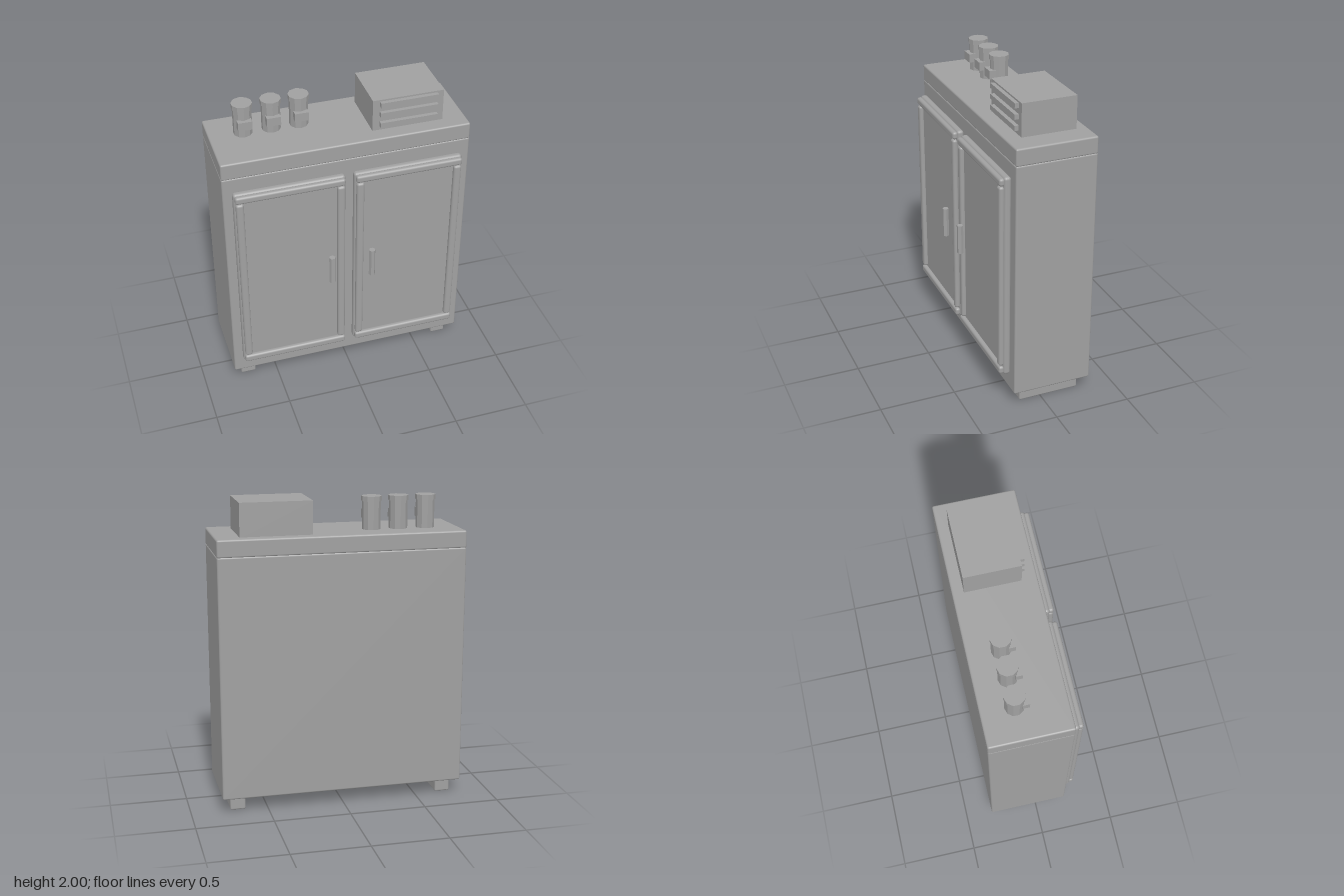
import * as THREE from 'three';
import { RoundedBoxGeometry } from 'three/addons/geometries/RoundedBoxGeometry.js';

const grey = new THREE.MeshStandardMaterial({ color: 0xa0a0a0 });
grey.name = 'grey';
const facetedGrey = grey;

function add(parent, name, geometry, x = 0, y = 0, z = 0) {
  const mesh = new THREE.Mesh(geometry, grey);
  mesh.name = name;
  mesh.position.set(x, y, z);
  parent.add(mesh);
  return mesh;
}

// Box given by its limits on each axis; a radius rounds the edges
function block(parent, name, [x0, x1], [y0, y1], [z0, z1], radius = 0) {
  const size = [x1 - x0, y1 - y0, z1 - z0];
  const geometry = radius
    ? new RoundedBoxGeometry(...size, 3, radius)
    : new THREE.BoxGeometry(...size);
  return add(parent, name, geometry, (x0 + x1) / 2, (y0 + y1) / 2, (z0 + z1) / 2);
}

// Faceted upright cylinder with flat sides
function prism(radius, height, sides) {
  const geometry = new THREE.CylinderGeometry(radius, radius, height, sides).toNonIndexed();
  geometry.computeVertexNormals();
  return geometry;
}

function makeDoor(name, x0, x1, handleX) {
  const door = new THREE.Group();
  door.name = name;
  block(door, 'doorPanel', [x0, x1], [0.22, 1.59], [0.205, 0.252], 0.019);
  // Raised frame
  const z = [0.243, 0.28];
  for (const y of [[0.228, 0.28], [1.532, 1.582]]) {
    block(door, 'doorRail', [x0 + 0.007, x1 - 0.007], y, z, 0.016);
  }
  for (const x of [[x0 + 0.01, x0 + 0.06], [x1 - 0.06, x1 - 0.01]]) {
    block(door, 'doorStile', x, [0.285, 1.528], z, 0.016);
  }
  // Hexagonal bar handle
  const handle = add(door, 'doorHandle', prism(0.021, 0.2, 6), handleX, 0.91, 0.305);
  handle.rotation.y = Math.PI / 2;
  return door;
}

function makeCanister(x) {
  const canister = new THREE.Group();
  canister.name = 'canister';
  canister.position.set(x, 0, -0.115);
  add(canister, 'canisterBody', prism(0.06, 0.185, 10), 0, 1.8775);
  add(canister, 'canisterLid', prism(0.066, 0.032, 10), 0, 1.984);
  block(canister, 'canisterLabel', [-0.045, 0.045], [1.85, 1.907], [0.04, 0.083]);
  return canister;
}

export function createModel() {
  const model = new THREE.Group();
  model.name = 'cabinet';

  // Cabinet case and worktop
  block(model, 'cabinetBody', [-0.8, 0.8], [0.1, 1.68], [-0.323, 0.205], 0.012);
  block(model, 'worktop', [-0.8, 0.8], [1.674, 1.787], [-0.323, 0.205], 0.012);

  // Runner feet
  for (const side of [-1, 1]) {
    block(model, 'foot', [side * 0.695 - 0.05, side * 0.695 + 0.05], [0.005, 0.13], [-0.262, 0.145], 0.01);
  }

  model.add(makeDoor('rightDoor', -0.743, -0.03, -0.137));
  model.add(makeDoor('leftDoor', 0.025, 0.738, 0.132));

  // Canisters on the worktop
  for (const x of [-0.583, -0.403, -0.225]) model.add(makeCanister(x));

  // Slatted box on the worktop
  block(model, 'slattedBox', [0.185, 0.647], [1.78, 2.0], [-0.25, 0.107]);
  for (const y of [1.832, 1.903, 1.973]) {
    block(model, 'slat', [0.23, 0.605], [y - 0.016, y + 0.016], [0.1, 0.133]);
  }
  return model;
}
